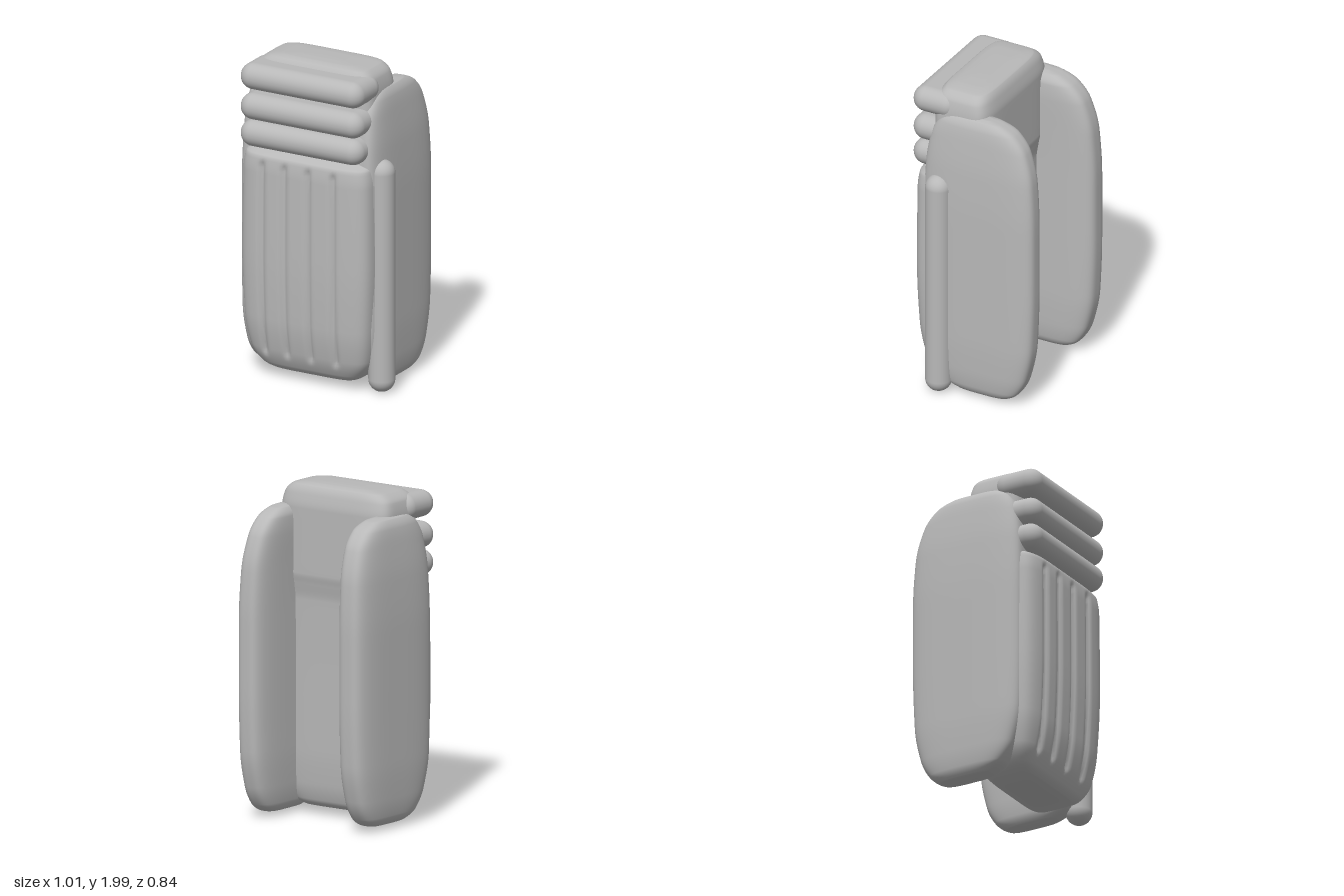
import * as THREE from 'three';
import { RoundedBoxGeometry } from 'three/addons/geometries/RoundedBoxGeometry.js';

// Monotone cubic interpolation of station rows, using the first column (y) as parameter
function smoothRows(st, steps) {
  const slope = (i, k) => (st[i + 1][k] - st[i][k]) / (st[i + 1][0] - st[i][0]);
  const tangent = (i, k) => {
    if (i === 0) return slope(0, k);
    if (i === st.length - 1) return slope(i - 1, k);
    const a = slope(i - 1, k), b = slope(i, k);
    return a * b > 0 ? (2 * a * b) / (a + b) : 0;
  };
  const rows = [st[0]];
  for (let i = 0; i < st.length - 1; i++) {
    const h = st[i + 1][0] - st[i][0];
    for (let s = 1; s <= steps; s++) {
      const t = s / steps, t2 = t * t, t3 = t2 * t;
      rows.push(st[i].map((v, k) => k === 0 ? v + h * t :
        (2 * t3 - 3 * t2 + 1) * v + (t3 - 2 * t2 + t) * h * tangent(i, k) +
        (3 * t2 - 2 * t3) * st[i + 1][k] + (t3 - t2) * h * tangent(i + 1, k)));
    }
  }
  return rows;
}

// Closed loft of soft rectangles; stations are [y, xMin, xMax, zBack, zFront]
function loft(stations, { sides = 96, power = 4, steps = 6, shape = null }) {
  const rows = smoothRows(stations, steps), pos = [], idx = [];
  const q = sides / 4;
  for (const [y, x0, x1, z0, z1] of rows) {
    for (let j = 0; j < sides; j++) {
      // walk round a square, then pull its corners in
      const f = Math.floor(j / q), u = (j % q) / q * 2 - 1;
      const [a, b] = [[1, u], [-u, 1], [-1, -u], [u, -1]][f];
      const r = Math.pow(Math.abs(a) ** power + Math.abs(b) ** power, -1 / power);
      const p = new THREE.Vector3((x0 + x1) / 2 + a * r * (x1 - x0) / 2, y,
        (z0 + z1) / 2 + b * r * (z1 - z0) / 2);
      if (shape && f === 1) shape(p);
      pos.push(p.x, p.y, p.z);
    }
  }
  const n = rows.length, bottom = n * sides, top = bottom + 1;
  for (const r of [rows[0], rows[n - 1]]) pos.push((r[1] + r[2]) / 2, r[0], (r[3] + r[4]) / 2);
  for (let j = 0; j < sides; j++) {
    const k = (j + 1) % sides;
    for (let i = 0; i < n - 1; i++) {
      const a = i * sides + j, b = i * sides + k;
      idx.push(a, a + sides, b, b, a + sides, b + sides);
    }
    idx.push(bottom, j, k, top, (n - 1) * sides + k, (n - 1) * sides + j);
  }
  const g = new THREE.BufferGeometry();
  g.setAttribute('position', new THREE.Float32BufferAttribute(pos, 3));
  g.setIndex(idx);
  g.computeVertexNormals();
  return g;
}

export function createModel() {
  const group = new THREE.Group();
  const padGrey = new THREE.MeshStandardMaterial({ color: 0xb8b8b8 });
  padGrey.name = 'padGrey';
  const add = (name, geometry, x = 0, y = 0, z = 0) => {
    const m = new THREE.Mesh(geometry, padGrey);
    m.name = name;
    m.position.set(x, y, z);
    group.add(m);
  };

  // Padded shin and knee body, with vertical grooves pressed into the front
  const grooves = [-0.28, -0.13, 0.03, 0.2];
  const pressGrooves = (p) => {
    const fade = THREE.MathUtils.smoothstep(p.y, 0.14, 0.2) *
      (1 - THREE.MathUtils.smoothstep(p.y, 1.34, 1.39));
    for (const gx of grooves) p.z -= 0.022 * fade * Math.exp(-(((p.x - gx) / 0.017) ** 2));
  };
  add('body', loft([
    [0.05, -0.2, 0.18, 0.04, 0.24],
    [0.06, -0.29, 0.27, 0.0, 0.28],
    [0.1, -0.36, 0.33, -0.03, 0.32],
    [0.2, -0.415, 0.385, -0.05, 0.36],
    [0.4, -0.445, 0.41, -0.06, 0.39],
    [0.8, -0.455, 0.425, -0.06, 0.402],
    [1.3, -0.45, 0.42, -0.065, 0.4],
    [1.4, -0.44, 0.41, -0.08, 0.39],
    [1.46, -0.425, 0.395, -0.09, 0.3],
    [1.85, -0.42, 0.38, -0.09, 0.29],
    [1.93, -0.405, 0.365, -0.075, 0.28],
    [1.98, -0.35, 0.32, -0.05, 0.25],
    [1.995, -0.27, 0.24, -0.01, 0.21],
    [2.0, -0.15, 0.13, 0.04, 0.15],
  ], { sides: 208, power: 5.5, shape: pressGrooves }));

  // Side wings that wrap back round the leg: [y, half width share, zBack, zFront, lean]
  const wing = [
    [0.028, 0.25, -0.16, 0.04, 0],
    [0.04, 0.55, -0.24, 0.1, 0],
    [0.09, 0.8, -0.31, 0.19, 0],
    [0.2, 0.93, -0.365, 0.26, 0],
    [0.42, 1, -0.407, 0.31, 0],
    [0.8, 1, -0.42, 0.32, 0],
    [1.2, 1, -0.42, 0.32, 0],
    [1.5, 0.97, -0.405, 0.31, 0.005],
    [1.7, 0.9, -0.355, 0.28, 0.015],
    [1.8, 0.8, -0.28, 0.23, 0.02],
    [1.85, 0.55, -0.18, 0.16, 0.02],
    [1.863, 0.25, -0.1, 0.08, 0.02],
  ];
  for (const [name, cx, half] of [['rightWing', -0.398, 0.11], ['leftWing', 0.35, 0.1]]) {
    add(name, loft(wing.map(([y, w, zb, zf, lean]) => {
      const c = cx - Math.sign(cx) * lean;
      return [y, c - half * w, c + half * w, zb, zf];
    }), { power: 3.6 }));
  }

  // Three knee rolls
  for (const y of [1.88, 1.692, 1.525]) {
    add('kneeRoll', new RoundedBoxGeometry(0.83, 0.162, 0.3, 8, 0.08), -0.025, y, 0.27);
  }

  // Round bolster down the left side
  add('sideBolster', new THREE.CapsuleGeometry(0.08, 1.285, 12, 32), 0.424, 0.73, 0.2);

  // Centre the whole pad
  const box = new THREE.Box3().setFromObject(group);
  const c = box.getCenter(new THREE.Vector3());
  for (const m of group.children) m.position.sub(new THREE.Vector3(c.x, box.min.y, c.z));
  return group;
}
